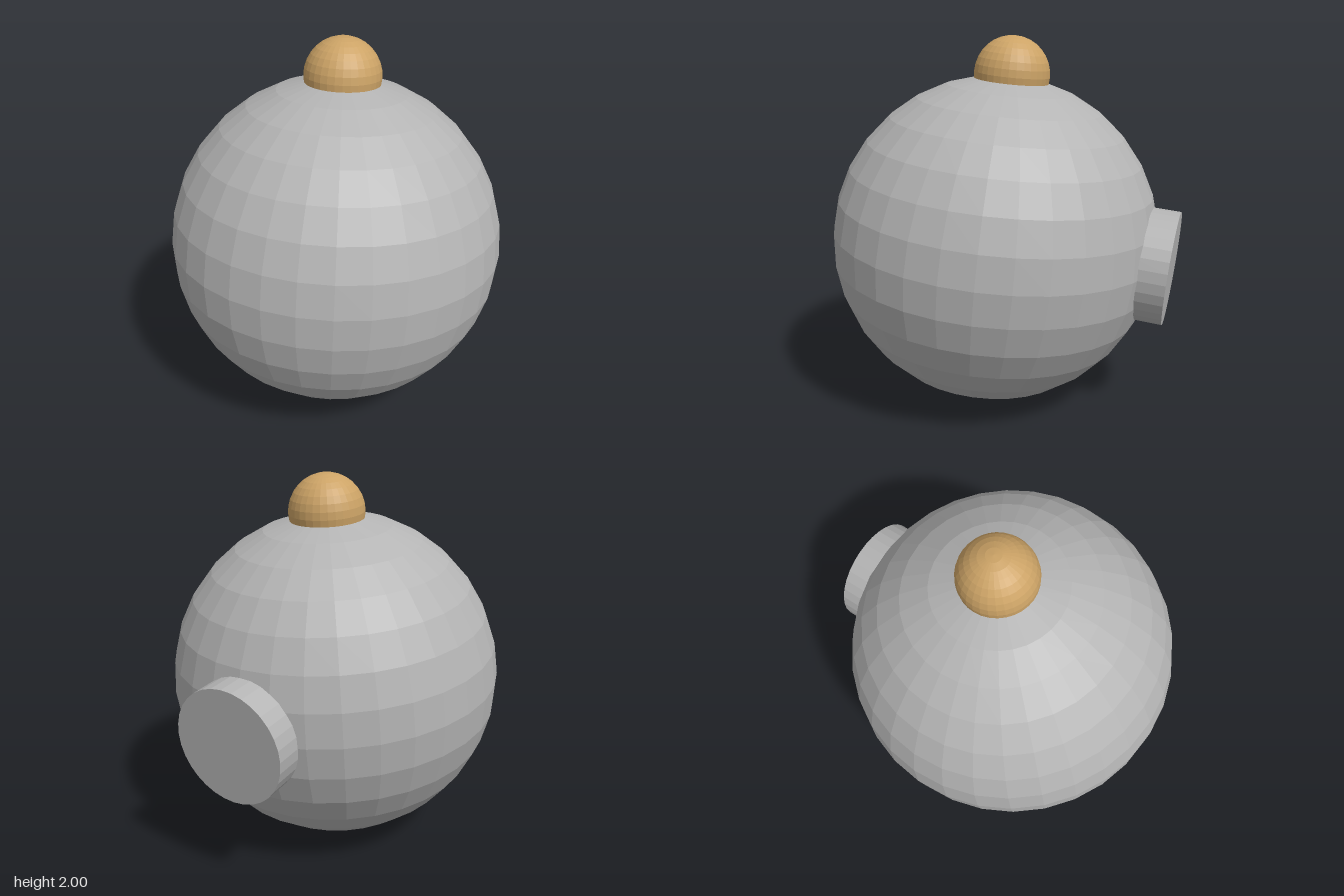
import * as THREE from 'three';

export function createModel() {
  const grey = new THREE.MeshStandardMaterial({ color: 0xb4b4b4, flatShading: true });
  grey.name = 'grey';
  const gold = new THREE.MeshStandardMaterial({ color: 0xcca366, flatShading: true });
  gold.name = 'gold';

  const model = new THREE.Group();
  model.name = 'tiltedBall';

  const add = (name, geometry, material, y = 0, z = 0) => {
    const mesh = new THREE.Mesh(geometry, material);
    mesh.name = name;
    mesh.position.set(0, y, z);
    model.add(mesh);
    return mesh;
  };

  // Large faceted ball
  add('body', new THREE.SphereGeometry(0.898, 32, 16), grey);

  // Small ball sunk into the top
  add('topKnob', new THREE.SphereGeometry(0.203, 32, 16), gold, 0.908);

  // Short round plug on the back
  const depth = 0.2;
  add('backPlug', new THREE.CylinderGeometry(0.305, 0.305, depth, 32), grey, 0, -0.984 + depth / 2)
    .rotation.x = Math.PI / 2;

  // The whole assembly leans slightly backwards
  model.rotation.x = -0.1;
  model.position.set(0, 0.894, 0.058);

  const root = new THREE.Group();
  root.name = 'model';
  root.add(model);
  return root;
}
